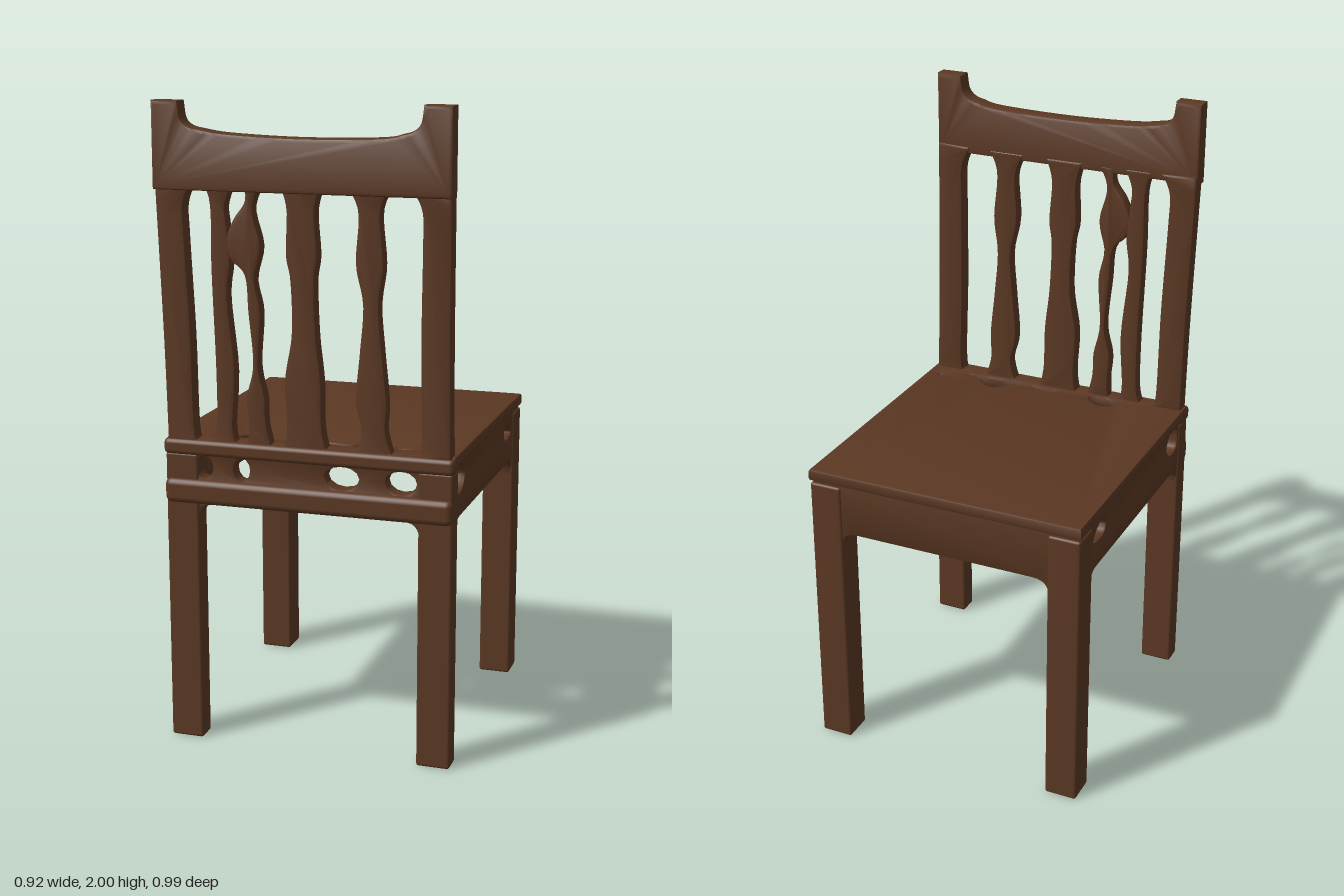
import * as THREE from 'three';
import { toCreasedNormals } from 'three/addons/utils/BufferGeometryUtils.js';
import { RoundedBoxGeometry } from 'three/addons/geometries/RoundedBoxGeometry.js';

const wood = new THREE.MeshStandardMaterial({ color: 0x5b3823, roughness: 0.8 });
const v2 = (x, y) => new THREE.Vector2(x, y);

export function createModel() {
  const chair = new THREE.Group();
  chair.name = 'chair';

  const add = (name, geometry) => {
    const mesh = new THREE.Mesh(geometry, wood);
    mesh.name = name;
    chair.add(mesh);
    return mesh;
  };

  // Box given by its minimum and maximum corners, with softened edges
  const block = (name, [x0, y0, z0], [x1, y1, z1], r = 0.008) =>
    add(name, new RoundedBoxGeometry(x1 - x0, y1 - y0, z1 - z0, 2, r)
      .translate((x0 + x1) / 2, (y0 + y1) / 2, (z0 + z1) / 2));

  // Extrusion whose bevel stays inside the outline and inside the depth
  const slab = (shape, depth, bevel = 0.008) => toCreasedNormals(
    new THREE.ExtrudeGeometry(shape, {
      depth: depth - 2 * bevel, bevelThickness: bevel, bevelSize: bevel,
      bevelOffset: -bevel, bevelSegments: 2, curveSegments: 6,
    }).translate(0, 0, bevel), 0.6);

  // Smooth closed opening through a few points
  const opening = (pts) => new THREE.Path(
    new THREE.CatmullRomCurve3(pts.map(([x, y]) => new THREE.Vector3(x, y, 0)), true)
      .getPoints(pts.length * 4).slice(0, -1).map((p) => v2(p.x, p.y)));

  const oval = (x, y, rx, ry) => new THREE.Path().absellipse(x, y, rx, ry, 0, Math.PI * 2, true);

  // Apron outline: straight top, bottom arched between the legs
  const apronShape = (u0, u1, in0, in1, top = 0.95) => {
    const s = new THREE.Shape();
    const low = 0.77, drop = 0.72, r = 0.05;
    s.moveTo(u0, drop);
    s.lineTo(in0, drop);
    s.quadraticCurveTo(in0, low, in0 + r, low);
    s.lineTo(in1 - r, low);
    s.quadraticCurveTo(in1, low, in1, drop);
    s.lineTo(u1, drop);
    s.lineTo(u1, top);
    s.lineTo(u0, top);
    return s;
  };

  // Legs
  for (const [side, sx] of [['left', 1], ['right', -1]]) {
    const x0 = Math.min(sx * 0.35, sx * 0.455), x1 = x0 + 0.105;
    block(side + 'PlainLeg', [x0, 0, -0.49], [x1, 0.93, -0.39]);
    block(side + 'BackrestLeg', [x0, 0, 0.37], [x1, 0.93, 0.44]);
  }

  // Seat board with worn gaps along the backrest
  const seat = new THREE.Shape([v2(-0.457, -0.492), v2(0.457, -0.492), v2(0.457, 0.42), v2(-0.457, 0.42)]);
  seat.holes.push(
    opening([[-0.24, 0.36], [-0.225, 0.33], [-0.19, 0.315], [-0.155, 0.33], [-0.13, 0.365], [-0.19, 0.375]]),
    opening([[-0.012, 0.35], [0.04, 0.348], [0.11, 0.356], [0.16, 0.33], [0.2, 0.302], [0.245, 0.318],
      [0.265, 0.35], [0.31, 0.36], [0.24, 0.367], [0.12, 0.374], [0.04, 0.362], [-0.01, 0.366]]),
    oval(0.405, 0.32, 0.012, 0.006));
  add('seat', slab(seat, 0.04).rotateX(Math.PI / 2).translate(0, 0.977, 0));

  // Side aprons, each pierced near both ends
  for (const [side, x] of [['left', 0.45], ['right', -0.405]]) {
    const s = apronShape(-0.483, 0.435, -0.39, 0.37);
    s.holes.push(
      opening([[0.365, 0.89], [0.355, 0.925], [0.3, 0.93], [0.265, 0.89], [0.3, 0.85], [0.355, 0.855]]),
      opening([[-0.27, 0.885], [-0.3, 0.913], [-0.34, 0.9], [-0.37, 0.87], [-0.33, 0.858], [-0.285, 0.862]]));
    add(side + 'Apron', slab(s, 0.045).rotateY(-Math.PI / 2).translate(x, 0, 0));
  }

  // Plain cross apron
  add('crossApron', slab(apronShape(-0.45, 0.45, -0.35, 0.35), 0.05).translate(0, 0, -0.484));

  // Apron under the backrest: pierced web between two swollen edges
  const web = apronShape(-0.45, 0.45, -0.35, 0.35, 0.97);
  for (const [x, rx] of [[-0.33, 0.026], [-0.21, 0.026], [0.11, 0.054], [0.295, 0.048]]) {
    web.holes.push(oval(x, 0.888, rx, 0.036));
  }
  add('backrestApron', slab(web, 0.055).translate(0, 0, 0.378));
  block('lowerSwelling', [-0.457, 0.772, 0.385], [0.457, 0.85, 0.455], 0.02);
  block('upperSwelling', [-0.46, 0.925, 0.38], [0.46, 0.975, 0.448], 0.015);

  // Upright with wavy edges given as [x, y] from bottom to top, leaning back
  const upright = (name, left, right, depth, z) => {
    const edge = (pts) => new THREE.SplineCurve(pts.map((p) => v2(...p))).getPoints(pts.length * 4);
    const g = slab(new THREE.Shape([...edge(left), ...edge(right).reverse()]), depth, 0.01);
    const p = g.attributes.position;
    for (let i = 0; i < p.count; i++) p.setZ(i, p.getZ(i) + z + 0.055 * (p.getY(i) - 0.95));
    add(name, g);
  };

  // Posts
  for (const [side, sx] of [['left', 1], ['right', -1]]) {
    upright(side + 'Post',
      [[0.448, 0.95], [0.448, 1.3], [0.454, 1.77]].map(([x, y]) => [sx * x, y]),
      [[0.34, 0.96], [0.358, 1.01], [0.358, 1.3], [0.365, 1.6], [0.364, 1.7], [0.335, 1.765]]
        .map(([x, y]) => [sx * x, y]), 0.058, 0.38);
  }

  // Slats
  upright('rightOuterSlat',
    [[-0.31, 0.96], [-0.29, 1.02], [-0.285, 1.2], [-0.288, 1.5], [-0.285, 1.7], [-0.31, 1.765]],
    [[-0.22, 0.96], [-0.235, 1.02], [-0.222, 1.2], [-0.238, 1.42], [-0.225, 1.53], [-0.232, 1.64],
      [-0.235, 1.7], [-0.21, 1.765]], 0.048, 0.383);
  upright('rightInnerSlat',
    [[-0.19, 0.96], [-0.185, 1.04], [-0.188, 1.12], [-0.165, 1.22], [-0.175, 1.38], [-0.182, 1.49],
      [-0.225, 1.54], [-0.235, 1.6], [-0.21, 1.66], [-0.175, 1.71], [-0.175, 1.765]],
    [[-0.11, 0.96], [-0.127, 1.04], [-0.128, 1.12], [-0.146, 1.22], [-0.134, 1.38], [-0.15, 1.48],
      [-0.128, 1.58], [-0.15, 1.69], [-0.12, 1.765]], 0.048, 0.384);
  upright('centreSlat',
    [[-0.075, 0.96], [-0.062, 1.04], [-0.065, 1.18], [-0.04, 1.32], [-0.04, 1.48], [-0.052, 1.56],
      [-0.046, 1.69], [-0.065, 1.765]],
    [[0.065, 0.96], [0.05, 1.04], [0.05, 1.18], [0.038, 1.32], [0.036, 1.48], [0.047, 1.56],
      [0.042, 1.69], [0.065, 1.765]], 0.052, 0.38);
  upright('leftSlat',
    [[0.15, 0.96], [0.172, 1.04], [0.155, 1.13], [0.17, 1.28], [0.182, 1.42], [0.162, 1.54],
      [0.172, 1.69], [0.14, 1.765]],
    [[0.27, 0.96], [0.248, 1.04], [0.252, 1.13], [0.24, 1.28], [0.232, 1.42], [0.248, 1.54],
      [0.24, 1.69], [0.27, 1.765]], 0.048, 0.383);

  // Top rail with raised post ends
  const rail = new THREE.Shape();
  rail.moveTo(-0.457, 1.74);
  rail.lineTo(0.457, 1.74);
  rail.lineTo(0.457, 2);
  rail.lineTo(0.37, 2);
  rail.lineTo(0.365, 1.96);
  rail.quadraticCurveTo(0.36, 1.925, 0.31, 1.918);
  rail.splineThru([v2(0.24, 1.905), v2(0, 1.9), v2(-0.22, 1.908), v2(-0.31, 1.92)]);
  rail.quadraticCurveTo(-0.36, 1.925, -0.365, 1.96);
  rail.lineTo(-0.37, 2);
  rail.lineTo(-0.457, 2);
  add('topRail', slab(rail, 0.064, 0.012).translate(0, 0, 0.43));

  return chair;
}
